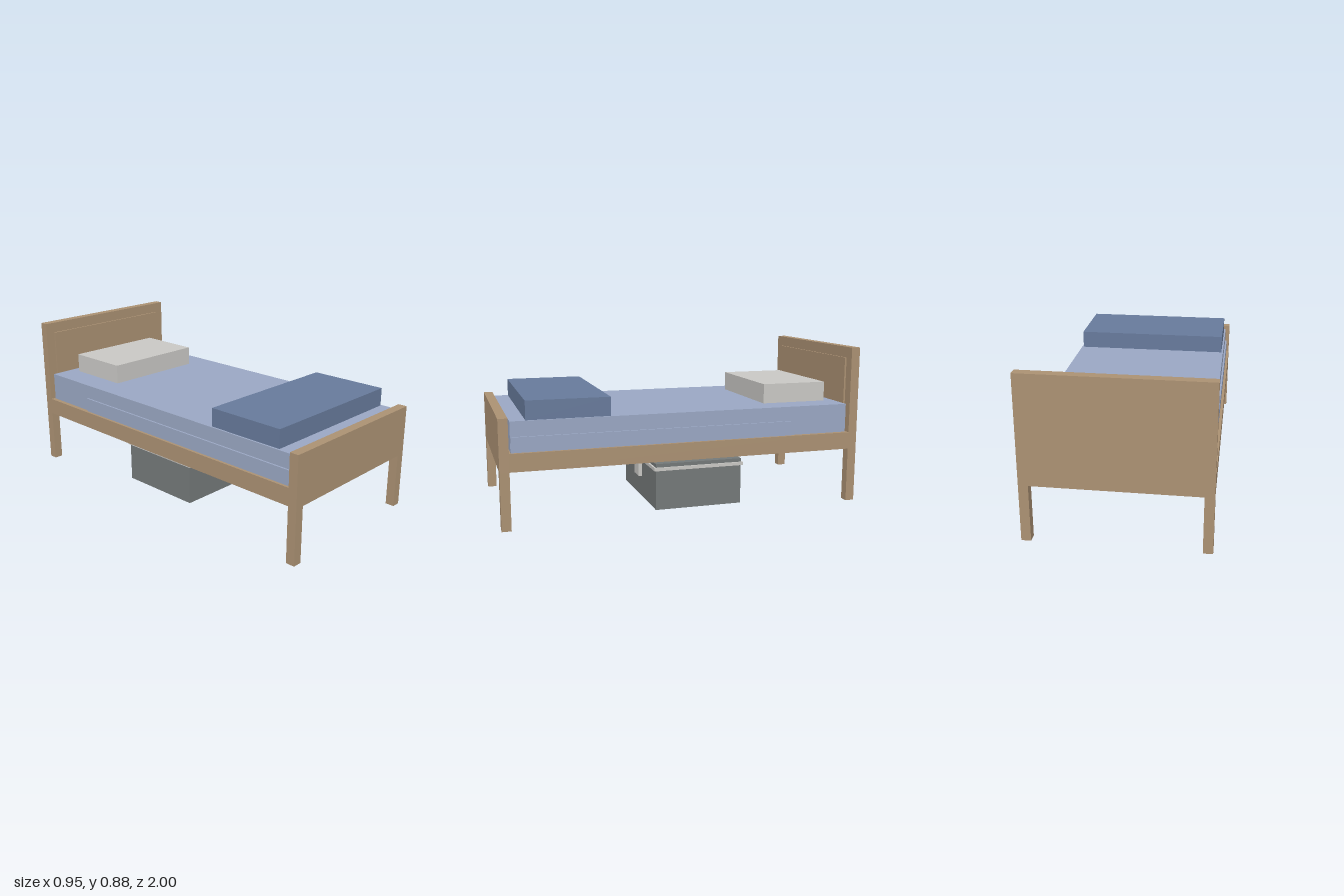
import * as THREE from 'three';

const material = (name, color) => {
  const m = new THREE.MeshStandardMaterial({ color });
  m.name = name;
  return m;
};

export function createModel() {
  const bed = new THREE.Group();
  bed.name = 'singleBed';

  const wood = material('wood', 0xab9173);
  const sheet = material('lightBlueSheet', 0x9aa7c3);
  const blue = material('darkBlueBlanket', 0x677a9b);
  const pale = material('paleGrey', 0xc9c8c5);
  const grey = material('boxGrey', 0x747979);

  // Box given by its extents along each axis
  const block = (name, mat, [x0, x1], [y0, y1], [z0, z1], parent = bed) => {
    const mesh = new THREE.Mesh(new THREE.BoxGeometry(x1 - x0, y1 - y0, z1 - z0), mat);
    mesh.position.set((x0 + x1) / 2, (y0 + y1) / 2, (z0 + z1) / 2);
    mesh.name = name;
    parent.add(mesh);
  };
  const wide = (w) => [-w, w];

  // Wooden frame, end boards and four legs
  block('bedBase', wood, wide(0.475), [0.305, 0.4], wide(0.95));
  block('headboard', wood, wide(0.475), [0.305, 0.88], [-1, -0.95]);
  block('headboardPanel', wood, wide(0.42), [0.55, 0.82], [-0.95, -0.94]);
  block('footboard', wood, wide(0.475), [0.305, 0.58], [0.95, 1]);
  for (const [side, x] of [['Left', 0.425], ['Right', -0.475]]) {
    block('front' + side + 'Leg', wood, [x, x + 0.05], [0, 0.305], [0.95, 1]);
    block('back' + side + 'Leg', wood, [x, x + 0.05], [0, 0.305], [-1, -0.95]);
  }

  // Bedding
  block('mattress', sheet, wide(0.45), [0.4, 0.56], wide(0.94));
  block('tuckedSheet', sheet, wide(0.46), [0.4, 0.48], [-0.6, 0.939]);
  block('pillow', pale, wide(0.3), [0.56, 0.67], [-0.88, -0.5]);
  block('foldedBlanket', blue, wide(0.44), [0.56, 0.66], [0.42, 0.86]);

  // Storage box under the bed
  const storage = new THREE.Group();
  storage.name = 'storageBox';
  bed.add(storage);
  block('boxBody', grey, wide(0.34), [0, 0.26], [-0.35, 0.15], storage);
  block('boxRim', pale, wide(0.35), [0.222, 0.24], [-0.36, 0.16], storage);
  block('boxLatch', pale, wide(0.05), [0.123, 0.2], [0.15, 0.17], storage);

  return bed;
}
